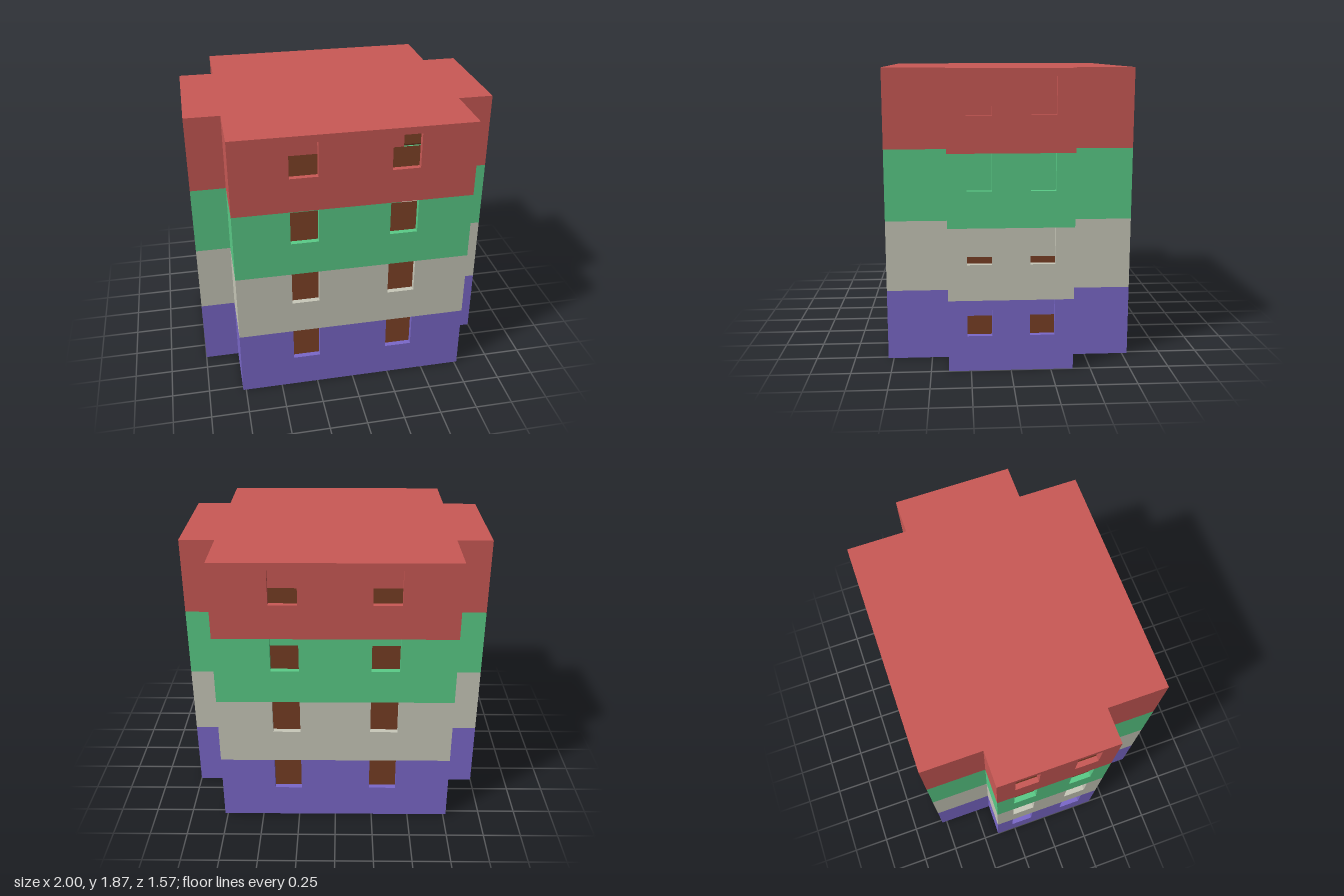
import * as THREE from 'three';

const STOREY = 0.457, ROOF = 0.046, SILL = 0.228, T = 0.035;
const X = 0.77, Z = 0.785;        // main block half sizes
const AX = 1, AZ = 0.39;          // side bay half sizes
const DOOR = [0.53, 0.76, 0.34];  // doorway start, end, height
const COLORS = [0x7a68c9, 0xc8c8b9, 0x5acb87, 0xc95955];

const material = color => new THREE.MeshStandardMaterial({ color });

function add(parent, name, geometry, mat, x = 0, y = 0, z = 0) {
  const mesh = new THREE.Mesh(geometry, mat);
  mesh.name = name;
  mesh.position.set(x, y, z);
  parent.add(mesh);
  return mesh;
}

const toShape = points => new THREE.Shape(points.map(p => new THREE.Vector2(p[0], p[1])));

// Flat plate from a plan outline, rising from y = 0
function plate(points, depth) {
  const g = new THREE.ExtrudeGeometry(toShape(points), { depth, bevelEnabled: false });
  return g.rotateX(-Math.PI / 2);
}

// Upright wall with two window notches open at the top, outer face at z = 0
function windowWall(half, w0, w1) {
  const pts = [[-half, 0], [half, 0], [half, STOREY]];
  for (const [a, b] of [[w1, w0], [-w0, -w1]]) {
    pts.push([a, STOREY], [a, SILL], [b, SILL], [b, STOREY]);
  }
  pts.push([-half, STOREY]);
  return new THREE.ExtrudeGeometry(toShape(pts), { depth: T, bevelEnabled: false }).translate(0, 0, -T);
}

// Half of the cross partition, with a doorway open at the floor
function partitionWall() {
  const [a, b, h] = DOOR, end = AX - T;
  const pts = [[T / 2, 0], [a, 0], [a, h], [b, h], [b, 0], [end, 0], [end, STOREY], [T / 2, STOREY]];
  return new THREE.ExtrudeGeometry(toShape(pts), { depth: T, bevelEnabled: false }).translate(0, 0, -T / 2);
}

function createStorey(index, floorMat) {
  const storey = new THREE.Group();
  storey.name = 'storey' + (index + 1);
  storey.position.y = index * STOREY;
  const mat = material(COLORS[index]);
  const mid = STOREY / 2;

  // Windowed walls on the four main faces
  for (const s of [1, -1]) {
    const turn = s > 0 ? 0 : Math.PI;
    add(storey, s > 0 ? 'frontWall' : 'backWall', windowWall(X, 0.23, 0.41), mat, 0, 0, s * Z).rotation.y = turn;
    add(storey, s > 0 ? 'leftWall' : 'rightWall', windowWall(AZ - T, 0.118, 0.272), mat, s * AX, 0, 0)
      .rotation.y = s * Math.PI / 2;
    add(storey, 'crossPartition', partitionWall(), mat).rotation.y = turn;
  }
  add(storey, 'longPartition', new THREE.BoxGeometry(T, STOREY, 2 * (Z - T)), mat, 0, mid, 0);

  // Corner returns and room floors, once per quadrant
  for (const sx of [1, -1]) for (const sz of [1, -1]) {
    const depth = Z - T - AZ, width = AX - X + T;
    add(storey, 'cornerWall', new THREE.BoxGeometry(T, STOREY, depth), mat,
      sx * (X - T / 2), mid, sz * (AZ + depth / 2));
    add(storey, 'bayWall', new THREE.BoxGeometry(width, STOREY, T), mat,
      sx * (X - T + width / 2), mid, sz * (AZ - T / 2));
    const room = [[T / 2, T / 2], [AX - T, T / 2], [AX - T, AZ - T], [X - T, AZ - T], [X - T, Z - T], [T / 2, Z - T]];
    add(storey, 'roomFloor', plate(room.map(([x, z]) => [x * sx, z * sz]), 0.01), floorMat, 0, 0.001, 0);
  }
  return storey;
}

export function createModel() {
  const model = new THREE.Group();
  model.name = 'apartmentBlock';
  const floorMat = material(0x5c2e1a);
  COLORS.forEach((c, i) => model.add(createStorey(i, floorMat)));

  // Cross-shaped flat roof
  const outline = [[X, -Z], [X, -AZ], [AX, -AZ], [AX, AZ], [X, AZ], [X, Z]];
  const cross = [...outline, ...outline.map(([x, z]) => [-x, -z])];
  add(model, 'roof', plate(cross, ROOF), material(COLORS[3]), 0, 4 * STOREY, 0);
  return model;
}
